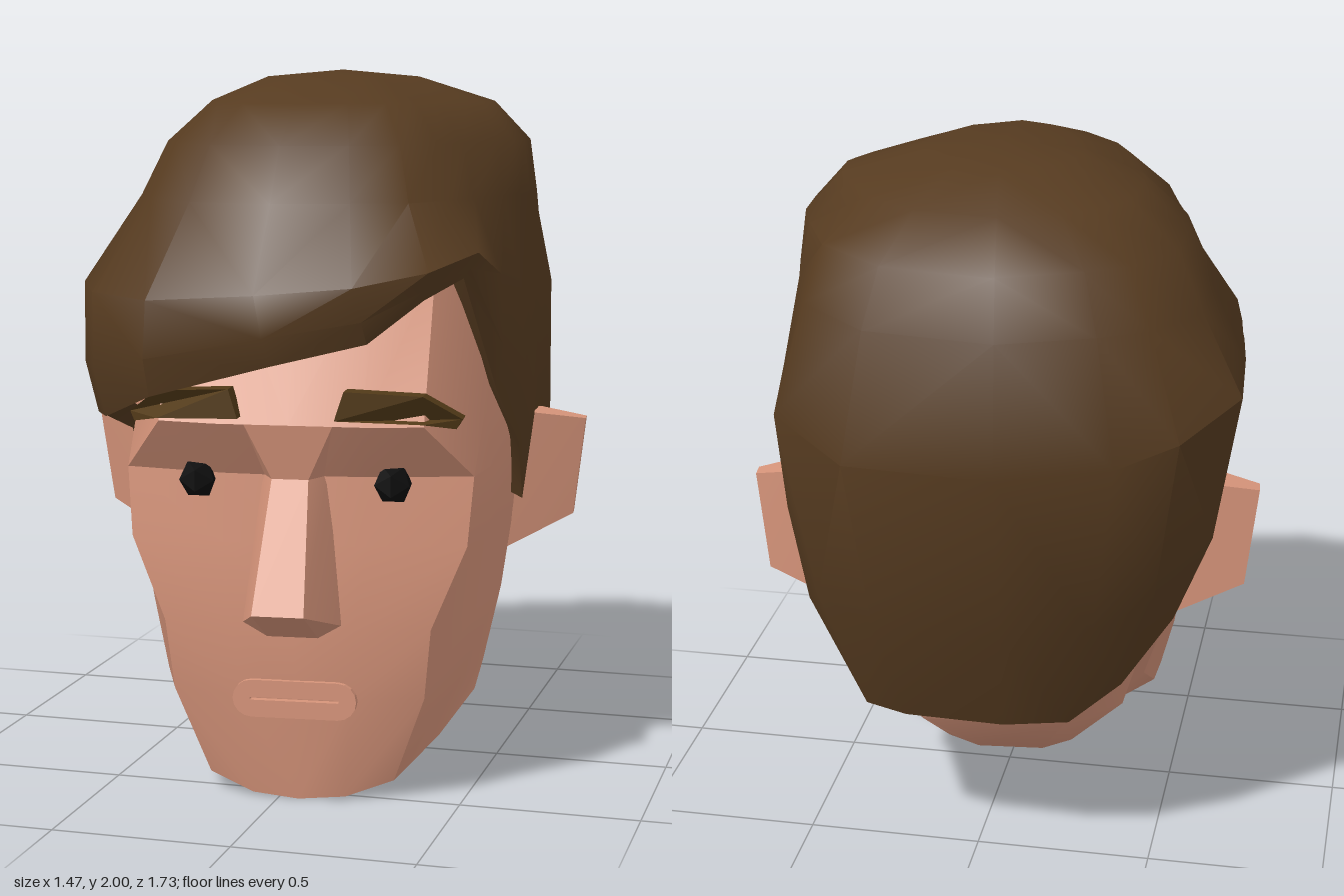
import * as THREE from 'three';
import { toCreasedNormals } from 'three/addons/utils/BufferGeometryUtils.js';
import { ConvexGeometry } from 'three/addons/geometries/ConvexGeometry.js';

const skin = new THREE.MeshStandardMaterial({ color: 0xd6947a });
skin.name = 'skin';
const hairBrown = new THREE.MeshStandardMaterial({ color: 0x563b20, side: THREE.DoubleSide });
hairBrown.name = 'hair brown';
const browBrown = new THREE.MeshStandardMaterial({ color: 0x523a18 });
browBrown.name = 'brow brown';
const eyeBlack = new THREE.MeshStandardMaterial({ color: 0x0c0c0c });
eyeBlack.name = 'eye black';

function mesh(name, geometry, material) {
  const m = new THREE.Mesh(geometry, material);
  m.name = name;
  return m;
}

// Skin over closed rings of [x, y, z], lowest first, with optional end points.
// The quads of the second half are split the other way, to keep both sides alike.
function loft(rings, bottom, top, crease) {
  const n = rings[0].length;
  const points = rings.flat();
  const index = [];
  for (let j = 0; j < rings.length - 1; j++) {
    for (let i = 0; i < n; i++) {
      const a = j * n + i, b = j * n + (i + 1) % n;
      if (i < n / 2) index.push(a, b, b + n, a, b + n, a + n);
      else index.push(a, b, a + n, b, b + n, a + n);
    }
  }
  const last = (rings.length - 1) * n;
  if (bottom) {
    points.push(bottom);
    for (let i = 0; i < n; i++) index.push((i + 1) % n, i, points.length - 1);
  }
  if (top) {
    points.push(top);
    for (let i = 0; i < n; i++) index.push(last + i, last + (i + 1) % n, points.length - 1);
  }
  const g = new THREE.BufferGeometry();
  g.setAttribute('position', new THREE.Float32BufferAttribute(points.flat(), 3));
  g.setIndex(index);
  return toCreasedNormals(g, crease);
}

// Half ring, front centre to back centre, completed on the other side
const mirrorRing = (half) =>
  half.concat(half.slice(1, -1).reverse().map(([x, y, z]) => [-x, y, z]));

const mirrorCorners = (corners) => corners.concat(corners.map(([x, y, z]) => [-x, y, z]));

// Convex block from corners
function block(corners, crease = 0.4) {
  return toCreasedNormals(new ConvexGeometry(corners.map((p) => new THREE.Vector3(...p))), crease);
}

function buildFace() {
  const jaw = [[0, 0, 0.57], [0.13, 0.01, 0.56], [0.26, 0.05, 0.515], [0.36, 0.13, 0.33],
    [0.44, 0.22, 0.14], [0.29, 0.1, 0.18], [0, 0.08, 0.16]];
  // height, then x and z from the front centre round to the back
  const levels = [
    [0.3, [0, 0.61], [0.15, 0.61], [0.35, 0.565], [0.42, 0.35], [0.46, 0.1], [0.41, 0.03], [0, -0.1]],
    [0.5, [0, 0.64], [0.17, 0.63], [0.37, 0.59], [0.46, 0.35], [0.5, 0], [0.46, -0.08], [0, -0.3]],
    [0.73, [0, 0.63], [0.2, 0.62], [0.465, 0.57], [0.5, 0.35], [0.53, -0.05], [0.5, -0.3], [0, -0.6]],
    [0.92, [0, 0.62], [0.2, 0.61], [0.48, 0.55], [0.51, 0.35], [0.55, -0.05], [0.52, -0.4], [0, -0.65]],
    [1.07, [0, 0.71], [0.2, 0.71], [0.36, 0.68], [0.49, 0.4], [0.55, 0], [0.52, -0.4], [0, -0.7]],
    [1.48, [0, 0.54], [0.2, 0.52], [0.36, 0.46], [0.45, 0.3], [0.52, 0], [0.48, -0.4], [0, -0.6]],
  ];
  const rings = [jaw, ...levels.map(([y, ...xz]) => xz.map(([x, z]) => [x, y, z]))];
  return loft(rings.map(mirrorRing), [0, 0.08, 0.25], [0, 1.5, 0], 0.4);
}

function buildMouth() {
  const capsule = (Type, half, r) => {
    const p = new Type();
    p.absarc(half, 0, r, -Math.PI / 2, Math.PI / 2, false);
    p.absarc(-half, 0, r, Math.PI / 2, Math.PI * 1.5, false);
    p.closePath();
    return p;
  };
  const shape = capsule(THREE.Shape, 0.12, 0.052);
  shape.holes.push(capsule(THREE.Path, 0.12, 0.004));
  const g = new THREE.ExtrudeGeometry(shape, { depth: 0.06, bevelEnabled: false, curveSegments: 4 });
  return g.translate(0, 0.298, 0.57);
}

// Brow plate, swept back towards the temple
function buildBrow(side) {
  const outline = [[0.13, 1.09], [0.36, 1.08], [0.44, 1.06], [0.455, 1.085], [0.36, 1.155], [0.155, 1.168]];
  const shape = new THREE.Shape(outline.map(([x, y]) => new THREE.Vector2(side * x, y)));
  const g = new THREE.ExtrudeGeometry(shape, { depth: 0.065, bevelEnabled: false });
  const p = g.attributes.position;
  for (let i = 0; i < p.count; i++) {
    const x = Math.abs(p.getX(i));
    p.setZ(i, p.getZ(i) + 0.68 - (x - 0.13) * 0.18 - Math.max(0, x - 0.36) * 0.75);
  }
  g.computeVertexNormals();
  return g;
}

function buildHair() {
  // widest point and hairline point of each lock, front centre round by the left
  const locks = [
    [0, 1.42, 0.78, 0.03, 1.23, 0.745], [0.25, 1.44, 0.72, 0.28, 1.29, 0.68],
    [0.44, 1.48, 0.66, 0.41, 1.4, 0.58], [0.53, 1.52, 0.46, 0.49, 1.45, 0.46],
    [0.56, 1.45, 0.3, 0.55, 1.13, 0.3], [0.575, 1.4, 0.1, 0.57, 0.95, 0.08],
    [0.58, 1.4, 0, 0.565, 0.77, -0.01], [0.585, 1.4, -0.06, 0.575, 1, -0.06],
    [0.585, 1.4, -0.2, 0.58, 1.02, -0.2], [0.575, 1.4, -0.35, 0.53, 0.67, -0.34],
    [0.53, 1.35, -0.62, 0.3, 0.48, -0.59], [0.29, 1.31, -0.84, 0.18, 0.47, -0.62],
    [-0.12, 1.31, -0.87, -0.1, 0.47, -0.63], [-0.42, 1.33, -0.79, -0.28, 0.48, -0.6],
    [-0.58, 1.38, -0.71, -0.41, 0.55, -0.48], [-0.72, 1.44, -0.5, -0.53, 0.67, -0.28],
    [-0.7, 1.44, -0.2, -0.58, 1.02, -0.14], [-0.68, 1.44, -0.03, -0.59, 1, 0],
    [-0.67, 1.44, 0.03, -0.56, 0.77, 0.05], [-0.66, 1.44, 0.12, -0.58, 0.95, 0.14],
    [-0.62, 1.41, 0.4, -0.6, 1.03, 0.36], [-0.52, 1.4, 0.6, -0.5, 1.05, 0.56],
    [-0.3, 1.4, 0.78, -0.3, 1.14, 0.76],
  ];
  const cz = -0.1;
  const scaled = (x, y, z, s) => [x * s, y, cz + (z - cz) * s];
  const under = locks.map(([, , , x, y, z]) => scaled(x, y + 0.03, z, 0.88));
  const hairline = locks.map((l) => l.slice(3));
  const bulge = locks.map(([mx, my, mz, x, y, z]) => {
    const t = 0.4;
    return scaled(x + (mx - x) * t, y + (my - y) * t, z + (mz - z) * t, 1 + 0.08 * (my - y));
  });
  const widest = locks.map((l) => l.slice(0, 3));
  // crown rings: height, size, then extra fullness on the left, front and back
  const crown = [
    [1.65, 0.87, 0.11, -0.045, 0.035], [1.8, 0.77, 0.18, -0.045, 0.03],
    [1.91, 0.59, 0.19, -0.02, 0], [1.98, 0.34, 0.06, 0, 0],
  ].map(([y, s, left, front, back]) => locks.map(([x, , z]) => {
    const r = Math.hypot(x, z - cz);
    const nx = x / r, nz = (z - cz) / r;
    // the corners between the sides are rounded off
    const corner = 0.12 * Math.abs(nx * nz);
    return scaled(x, y, z, s - corner + left * Math.max(0, nx) ** 4
      + front * Math.max(0, nz) + back * Math.max(0, -nz));
  }));
  return loft([under, hairline, bulge, widest, ...crown], null, [0, 2, cz], 0.75);
}

export function createModel() {
  const model = new THREE.Group();
  model.name = 'head';

  // The face is turned slightly to its left under the hair
  const face = new THREE.Group();
  face.name = 'face';
  face.rotation.y = 0.1;
  model.add(face);

  face.add(mesh('skull', buildFace(), skin));
  face.add(mesh('neck', block(mirrorCorners([
    [0.1, 0.02, 0.03], [0.19, 0.06, 0.02], [0.2, 0.09, 0.13], [0.35, 0.25, -0.08],
    [0.2, 0.42, -0.53], [0.45, 0.6, -0.1], [0.44, 0.7, -0.35], [0.22, 0.62, -0.56],
  ]), 1.0), skin));
  face.add(mesh('nose', block(mirrorCorners([
    [0.05, 0.92, 0.68], [0.09, 0.92, 0.6], [0.07, 0.585, 0.86], [0.135, 0.52, 0.66],
    [0.07, 0.48, 0.65], [0.12, 0.55, 0.58],
  ])), skin));
  face.add(mesh('noseBridge', block(mirrorCorners([
    [0.12, 1.07, 0.71], [0.05, 0.92, 0.68], [0.09, 0.92, 0.6], [0.12, 1.07, 0.6],
  ])), skin));
  face.add(mesh('mouth', buildMouth(), skin));

  for (const [side, label] of [[1, 'left'], [-1, 'right']]) {
    const eye = mesh(label + 'Eye', new THREE.IcosahedronGeometry(0.056, 0), eyeBlack);
    eye.position.set(side * 0.268, 0.902, 0.605);
    face.add(eye);
    face.add(mesh(label + 'Brow', buildBrow(side), browBrown));
    face.add(mesh(label + 'Ear', block([
      [0.53, 1.02, 0], [0.735, 0.99, -0.08], [0.735, 0.99, -0.13], [0.55, 1.02, -0.16],
      [0.7, 0.7, -0.11], [0.7, 0.7, -0.15], [0.5, 0.6, -0.04], [0.48, 0.6, -0.17],
    ].map(([x, y, z]) => [side * x, y, z])), skin));
  }

  model.add(mesh('hair', buildHair(), hairBrown));
  return model;
}
